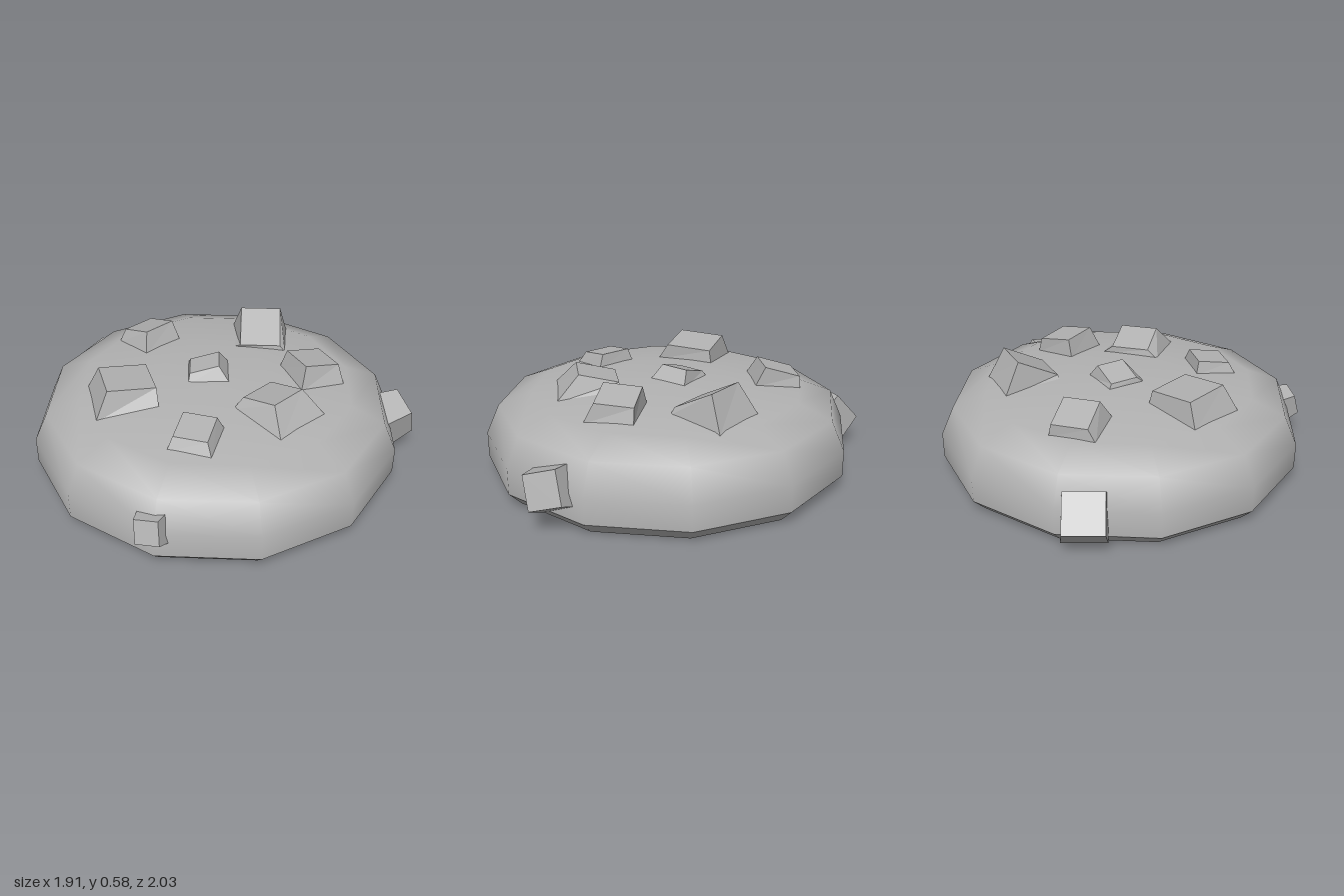
import * as THREE from 'three';

const CZ = 0.04; // centre of the body along z

// Smooth twelve-sided band of the body from a short profile
function band(name, profile, mat) {
  const pts = profile.map(([r, y]) => new THREE.Vector2(r, y));
  const mesh = new THREE.Mesh(new THREE.LatheGeometry(pts, 12), mat);
  mesh.name = name;
  mesh.position.z = CZ;
  return mesh;
}

// Faceted normals without a second material
function facet(geo) {
  const g = geo.toNonIndexed();
  g.computeVertexNormals();
  return g;
}

// Chip on the top: square base and smaller, leaning square top.
// base and top: [centre x, centre z, half diagonal x, half diagonal z]
// lean: [height of top centre, slope along x, slope along z]
function topChip({ base, top, lean }, mat) {
  const geo = new THREE.BoxGeometry(2, 2, 2);
  const p = geo.attributes.position;
  for (let i = 0; i < p.count; i++) {
    const a = -(p.getX(i) + p.getZ(i)) / 2;
    const b = (p.getX(i) - p.getZ(i)) / 2;
    const isTop = p.getY(i) > 0;
    const [cx, cz, dx, dz] = isTop ? top : base;
    const ox = a * dx - b * dz, oz = a * dz + b * dx;
    const r = Math.hypot(cx + ox, cz + oz - CZ);
    const y = isTop
      ? lean[0] + lean[1] * ox + lean[2] * oz
      : 0.45 - 0.1 * Math.max(0, r - 0.3);
    p.setXYZ(i, cx + ox, y, cz + oz);
  }
  const mesh = new THREE.Mesh(facet(geo), mat);
  mesh.name = 'topChip';
  return mesh;
}

// Chip stuck in the side, pointing along an axis
function sideChip({ at, axis, outer, inner, depth, roll }, mat) {
  const geo = new THREE.CylinderGeometry(outer * Math.SQRT2, inner * Math.SQRT2, depth, 4, 1);
  geo.rotateY(Math.PI / 4);
  geo.rotateX(Math.PI / 2);
  const mesh = new THREE.Mesh(facet(geo), mat);
  mesh.name = 'sideChip';
  mesh.position.set(...at);
  mesh.lookAt(mesh.position.clone().add(new THREE.Vector3(...axis)));
  mesh.rotateZ(roll);
  return mesh;
}

export function createModel() {
  const model = new THREE.Group();
  model.name = 'chipCookie';
  const grey = new THREE.MeshStandardMaterial({ color: 0xb2b2b2 });
  grey.name = 'grey';

  // Body: rounded upper part, bevelled lower rim, flat underside
  model.add(band('bodyTop', [
    [0.953, 0.065], [0.953, 0.2], [0.885, 0.35], [0.71, 0.42], [0.3, 0.46], [0, 0.466],
  ], grey));
  model.add(band('lowerRim', [[0.89, 0], [0.953, 0.065]], grey));
  const underside = new THREE.Mesh(new THREE.CircleGeometry(0.89, 12), grey);
  underside.name = 'underside';
  underside.rotation.x = Math.PI / 2;
  underside.position.z = CZ;
  model.add(underside);

  // Chips on the top
  const topChips = [
    { base: [0.01, -0.52, -0.12, -0.12], top: [0.027, -0.545, -0.095, -0.09], lean: [0.508, 0, 0.31] },
    { base: [-0.455, -0.165, -0.063, -0.215], top: [-0.42, -0.165, -0.055, -0.165], lean: [0.535, -0.1, 0] },
    { base: [0.48, -0.13, 0.01, -0.215], top: [0.455, -0.093, 0, -0.153], lean: [0.525, 0.37, -0.37] },
    { base: [0, -0.015, -0.01, -0.155], top: [-0.01, -0.04, -0.005, -0.106], lean: [0.51, 0.2, 0.22] },
    { base: [-0.415, 0.35, 0.037, -0.153], top: [-0.41, 0.34, 0.027, -0.117], lean: [0.497, 0.12, -0.08] },
    { base: [0.405, 0.34, -0.075, -0.16], top: [0.42, 0.325, -0.065, -0.122], lean: [0.53, -0.2, 0] },
    { base: [0.035, 0.465, -0.165, -0.16], top: [0.037, 0.41, -0.106, -0.097], lean: [0.52, 0, 0.25] },
  ];
  for (const chip of topChips) model.add(topChip(chip, grey));

  // Chips around the side
  const sideChips = [
    { at: [0.7, 0.195, 0.655], axis: [0.85, 0.3, 0.45], outer: 0.085, inner: 0.11, depth: 0.18, roll: 0.3 },
    { at: [-0.81, 0.21, 0.49], axis: [-0.85, 0.3, 0.45], outer: 0.06, inner: 0.08, depth: 0.12, roll: 0.15 },
    { at: [-0.14, 0.18, -0.89], axis: [-0.3, 0.9, -0.9], outer: 0.1, inner: 0.11, depth: 0.14, roll: 0 },
  ];
  for (const chip of sideChips) model.add(sideChip(chip, grey));

  return model;
}
